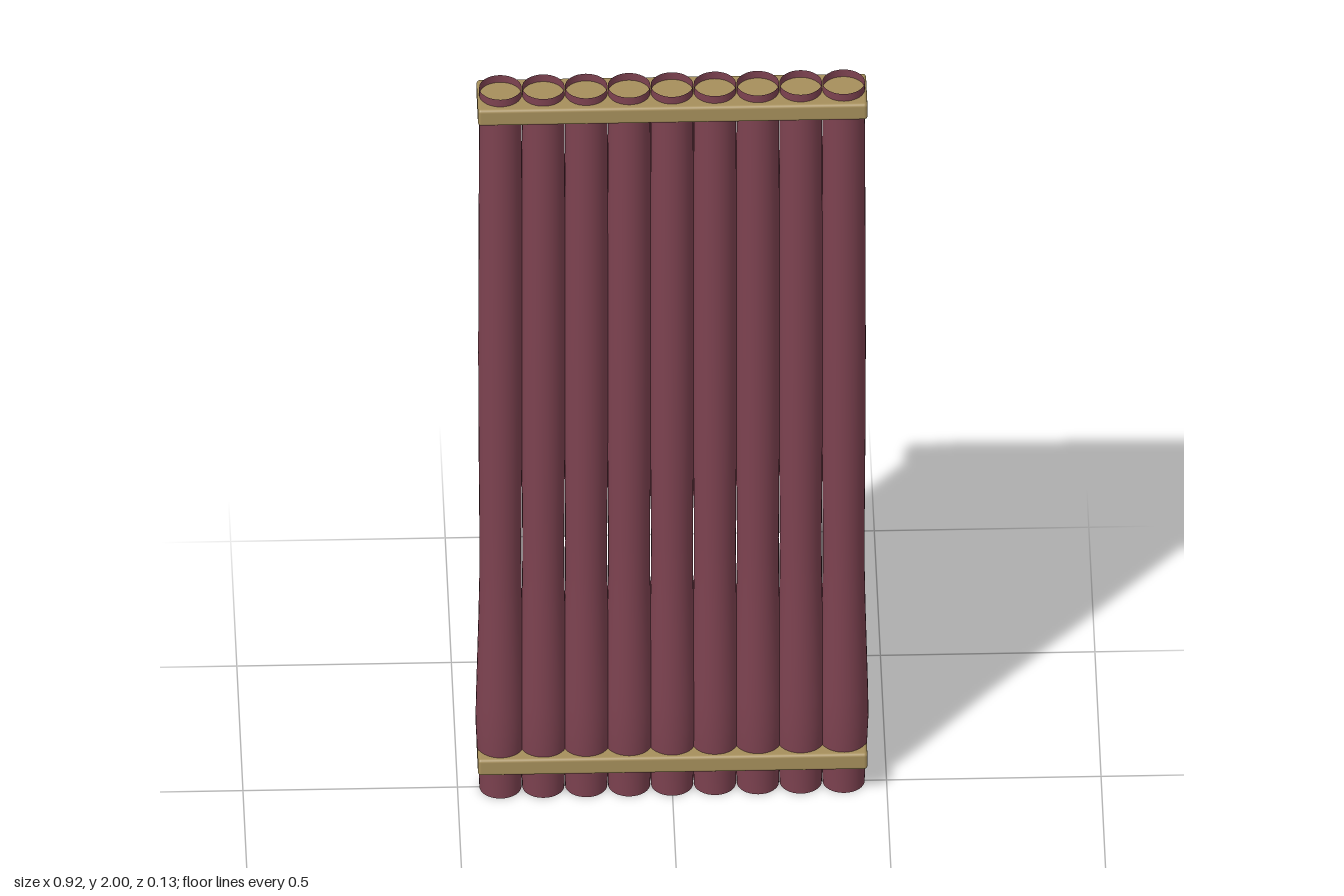
import * as THREE from 'three';
import { RoundedBoxGeometry } from 'three/addons/geometries/RoundedBoxGeometry.js';

export function createModel() {
  const group = new THREE.Group();
  const tubeMaterial = new THREE.MeshStandardMaterial({ color: 0x7d4250, side: THREE.DoubleSide });
  const barMaterial = new THREE.MeshStandardMaterial({ color: 0xa68f5b });

  // Thin open tubes that swell just above the lower bar
  const profile = [
    [0.049, 0], [0.051, 0.06], [0.055, 0.12], [0.058, 0.19], [0.057, 0.26], [0.054, 0.38],
    [0.051, 0.5], [0.0492, 0.6], [0.0488, 0.7], [0.0495, 0.82], [0.051, 1.0], [0.0517, 1.25],
    [0.051, 1.55], [0.05, 1.8], [0.0495, 1.92], [0.0495, 2],
  ].map(([r, y]) => new THREE.Vector2(r, y));
  const tubeGeometry = new THREE.LatheGeometry(profile, 32);

  for (let i = 0; i < 9; i++) {
    const tube = new THREE.Mesh(tubeGeometry, tubeMaterial);
    tube.name = `tube${i + 1}`;
    tube.position.x = (i - 4) * 0.1;
    group.add(tube);
  }

  // Flat bars binding the tubes near both ends
  const barGeometry = new RoundedBoxGeometry(0.908, 0.045, 0.13, 3, 0.008);
  for (const [name, y] of [['lowerBar', 0.098], ['upperBar', 1.957]]) {
    const bar = new THREE.Mesh(barGeometry, barMaterial);
    bar.name = name;
    bar.position.y = y;
    group.add(bar);
  }
  return group;
}
